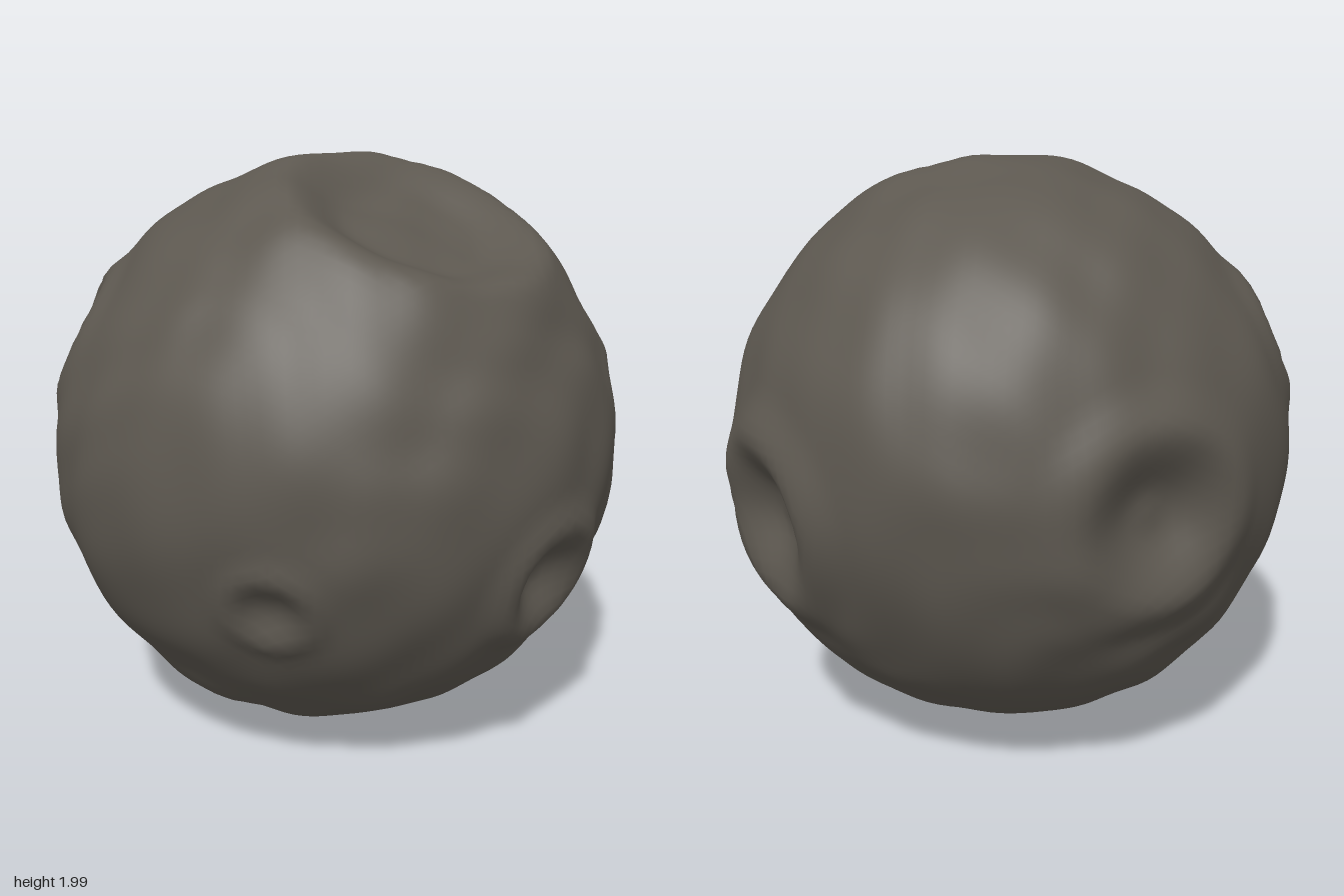
import * as THREE from 'three';
import { mergeVertices } from 'three/addons/utils/BufferGeometryUtils.js';

const BASE_RADIUS = 0.968;

// Each crater: direction from the centre, rim radius, floor depth, rim height,
// and where the wall starts as a share of the radius
const CRATERS = [
  { dir: [0.05, 0.83, 0.40], r: 0.435, depth: 0.14, rim: 0.03, wall: 0.6 },
  { dir: [0.92, -0.11, -0.18], r: 0.26, depth: 0.10, rim: 0.03, wall: 0.2 },
  { dir: [-0.04, -0.02, -0.93], r: 0.27, depth: 0.10, rim: 0.025, wall: 0.2 },
  { dir: [-0.77, 0.40, -0.40], r: 0.21, depth: 0.08, rim: 0.02, wall: 0.2 },
  { dir: [0.21, -0.30, 0.87], r: 0.19, depth: 0.065, rim: 0.025, wall: 0.2 },
  { dir: [-0.64, -0.30, 0.62], r: 0.13, depth: 0.035, rim: 0.015, wall: 0.2 },
  { dir: [-0.31, -0.88, 0.00], r: 0.31, depth: 0.10, rim: 0.02, wall: 0.3 },
  { dir: [0.70, -0.22, 0.58], r: 0.13, depth: 0.01, rim: 0.004, wall: 0 },
  { dir: [0.73, 0.20, 0.60], r: 0.13, depth: 0.01, rim: 0.004, wall: 0 },
].map((c) => ({ ...c, dir: new THREE.Vector3(...c.dir).normalize() }));

// Wide swellings of the ball: direction, height, tightness
const SWELLS = [
  { dir: [0.72, 0.45, -0.55], height: 0.04, power: 3 },
  { dir: [-1, -0.07, 0.08], height: 0.025, power: 8 },
].map((s) => ({ ...s, dir: new THREE.Vector3(...s.dir).normalize() }));

// Level floor and steeper wall inside the rim, a fading raised lip outside it
function craterHeight(c, dir) {
  const t = (dir.distanceTo(c.dir) * BASE_RADIUS) / c.r;
  if (t > 1.6) return 0;
  if (t > 1) return c.rim * (1 - THREE.MathUtils.smoothstep(t, 1, 1.6));
  const level = (c.r * c.r) / (2 * BASE_RADIUS);
  const wall = c.depth + c.rim - level;
  return -c.depth + level * t * t + wall * THREE.MathUtils.smoothstep(t, c.wall, 1);
}

// Gentle lumps at two scales
function lumps({ x, y, z }) {
  const broad = Math.sin(4.1 * x + 1.3) * Math.sin(3.7 * y + 0.4) * Math.sin(4.5 * z + 2.1);
  const warp = 1.5 * Math.sin(3 * x - 4 * y + 5 * z);
  const fine = Math.sin(15 * x + warp) * Math.sin(14 * y + warp + 1) + Math.sin(16 * z - warp) * Math.sin(13 * x + 2);
  return 0.01 * broad + 0.005 * fine;
}

function createRock() {
  let geo = new THREE.IcosahedronGeometry(1, 28);
  geo.deleteAttribute('uv');
  geo.deleteAttribute('normal');
  geo = mergeVertices(geo, 1e-4);

  const pos = geo.attributes.position;
  const dir = new THREE.Vector3();
  for (let i = 0; i < pos.count; i++) {
    dir.fromBufferAttribute(pos, i).normalize();
    let radius = BASE_RADIUS + lumps(dir);
    for (const s of SWELLS) radius += s.height * Math.max(0, dir.dot(s.dir)) ** s.power;
    for (const c of CRATERS) radius += craterHeight(c, dir);
    pos.setXYZ(i, dir.x * radius, dir.y * radius, dir.z * radius);
  }

  // Stand on the ground, centred
  geo.computeBoundingBox();
  const mid = geo.boundingBox.getCenter(new THREE.Vector3());
  geo.translate(-mid.x, -geo.boundingBox.min.y, -mid.z);
  geo.computeVertexNormals();
  return geo;
}

export function createModel() {
  const group = new THREE.Group();
  group.name = 'crateredMoon';
  const rock = new THREE.MeshStandardMaterial({ color: 0x5d5850 });
  rock.name = 'darkRock';
  const body = new THREE.Mesh(createRock(), rock);
  body.name = 'moonBody';
  group.add(body);
  return group;
}
